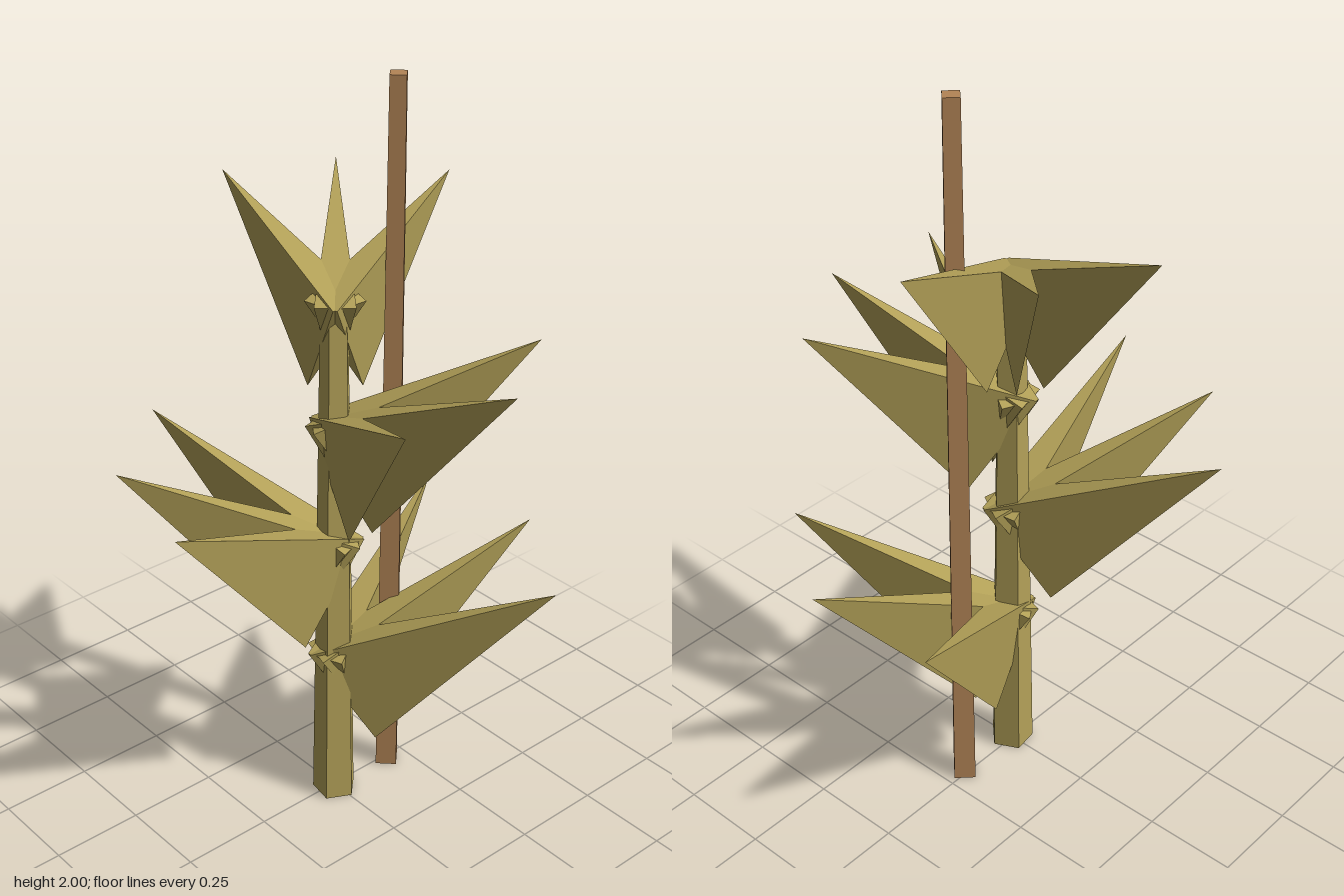
import * as THREE from 'three';

export function createModel() {
  const root = new THREE.Group();
  root.name = 'stakedPlant';
  const plant = new THREE.MeshStandardMaterial({ color: 0xb3a158, flatShading: true });
  plant.name = 'olive leaf';
  const wood = new THREE.MeshStandardMaterial({ color: 0xb38556, flatShading: true });
  wood.name = 'brown wood';

  function add(parent, geometry, material, name, x, y, z) {
    const mesh = new THREE.Mesh(geometry, material);
    mesh.name = name;
    mesh.position.set(x, y, z);
    parent.add(mesh);
    return mesh;
  }

  // Tapered five-sided stem and four-sided support stake
  const cx = -0.004, cz = 0.01;
  const stem = add(root, new THREE.CylinderGeometry(0.037, 0.061, 1.47, 5), plant, 'stem', cx, 0.735, cz);
  stem.rotation.y = 0.15;
  add(root, new THREE.CylinderGeometry(0.029, 0.041, 2, 4), wood, 'stake', 0.19, 1, 0.01);

  // Each leaf is a flattened three-sided spike with a flat top and a keel below
  const tilt = THREE.MathUtils.degToRad(31.5);
  const baseRadius = 0.217, flatten = 0.27;
  function leafGeometry(length) {
    return new THREE.ConeGeometry(baseRadius, length, 3)
      .translate(0, length / 2, 0)
      .scale(flatten, 1, 1)
      .rotateX(Math.PI / 2 - tilt);
  }

  // Whorls of three leaves climbing the stem: height, leaf length, middle direction in degrees
  const whorls = [
    [0.375, 0.678, 17],
    [0.712, 0.645, 211.4],
    [1.051, 0.594, 75],
    [1.392, 0.546, -49],
  ];
  whorls.forEach(([y, length, middle], i) => {
    const whorl = new THREE.Group();
    whorl.name = 'leafWhorl' + (i + 1);
    const geometry = leafGeometry(length);
    for (let k = -1; k <= 1; k++) {
      const leaf = add(whorl, geometry, plant, 'leaf', cx, y, cz);
      leaf.rotation.y = Math.PI / 2 - THREE.MathUtils.degToRad(middle + 38 * k);
    }
    root.add(whorl);
  });
  return root;
}
